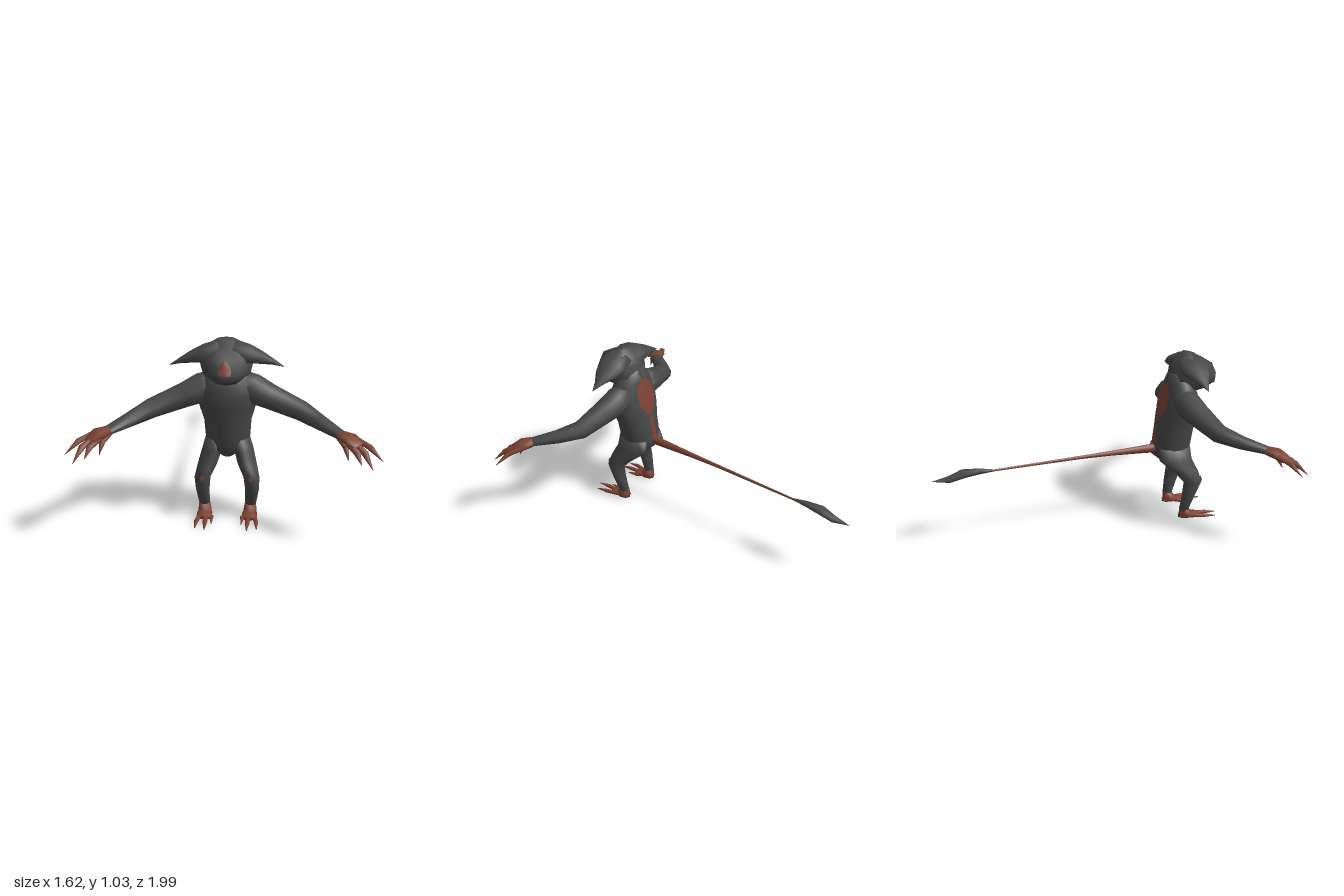
import * as THREE from 'three';

const hide = new THREE.MeshStandardMaterial({ color: 0x484848 });
hide.name = 'dark hide';
const skinRed = new THREE.MeshStandardMaterial({ color: 0x7c4233, side: THREE.DoubleSide });
skinRed.name = 'red skin';

const V = (x, y, z) => new THREE.Vector3(x, y, z);

function meshFrom(name, points, index, material) {
  const g = new THREE.BufferGeometry().setFromPoints(points);
  g.setIndex(index);
  g.computeVertexNormals();
  const m = new THREE.Mesh(g, material);
  m.name = name;
  return m;
}

// Closed skin over rings that run counter-clockwise about the path direction
function skin(name, rings, material) {
  const n = rings[0].length, last = rings.length - 1;
  const points = rings.flat(), index = [];
  for (let i = 0; i < last; i++) for (let j = 0; j < n; j++) {
    const a = i * n + j, b = i * n + (j + 1) % n;
    index.push(a, b, a + n, b, b + n, a + n);
  }
  for (const i of [0, last]) {
    const c = points.length;
    points.push(rings[i].reduce((s, p) => s.add(p), V(0, 0, 0)).divideScalar(n));
    for (let j = 0; j < n; j++) {
      const a = i * n + j, b = i * n + (j + 1) % n;
      index.push(c, ...(i ? [a, b] : [b, a]));
    }
  }
  return meshFrom(name, points, index, material);
}

// Elliptical tube: sections are [x, y, z, radius along side, radius across]
function loft(name, sections, side, material, sides = 10, dir = null) {
  const c = sections.map(s => V(s[0], s[1], s[2]));
  const rings = sections.map((s, i) => {
    const t = dir ? dir.clone()
      : c[Math.min(i + 1, c.length - 1)].clone().sub(c[Math.max(i - 1, 0)]).normalize();
    const u = side.clone().addScaledVector(t, -side.dot(t)).normalize();
    const v = t.clone().cross(u);
    return Array.from({ length: sides }, (_, j) => {
      const a = j / sides * Math.PI * 2;
      return c[i].clone().addScaledVector(u, s[3] * Math.cos(a)).addScaledVector(v, s[4] * Math.sin(a));
    });
  });
  return skin(name, rings, material);
}

// Open sheet from rows of points
function sheet(name, rows, material) {
  const n = rows[0].length, index = [];
  for (let i = 0; i < rows.length - 1; i++) for (let j = 0; j < n - 1; j++) {
    const a = i * n + j;
    index.push(a, a + 1, a + n, a + 1, a + n + 1, a + n);
  }
  return meshFrom(name, rows.flat(), index, material);
}

// Torso outline: height, front z, back z, half width
const TORSO = [
  [0.355, 0.55, 0.42, 0.04], [0.40, 0.585, 0.37, 0.10], [0.46, 0.60, 0.365, 0.123],
  [0.56, 0.615, 0.38, 0.13], [0.65, 0.635, 0.395, 0.155], [0.73, 0.65, 0.41, 0.165],
  [0.79, 0.63, 0.425, 0.15], [0.85, 0.61, 0.44, 0.12], [0.92, 0.58, 0.46, 0.07],
];

// Point on the back of the torso, slightly raised
function backPoint(x, y) {
  const i = TORSO.findIndex(s => s[0] >= y), a = TORSO[i - 1], b = TORSO[i];
  const k = (y - a[0]) / (b[0] - a[0]);
  const [f, r, w] = [1, 2, 3].map(q => a[q] + (b[q] - a[q]) * k);
  return V(x, y, (f + r) / 2 - (f - r) / 2 * Math.sqrt(Math.max(0, 1 - (x / w) ** 2)) - 0.004);
}

function createHead() {
  const head = new THREE.Group();
  head.name = 'head';
  // Layers: height, front z, back z, half width, widest z
  const layers = [
    [0.80, 0.62, 0.46, 0.07, 0.54], [0.815, 0.70, 0.45, 0.095, 0.56], [0.845, 0.745, 0.44, 0.115, 0.58],
    [0.85, 0.763, 0.44, 0.125, 0.60], [0.885, 0.768, 0.445, 0.135, 0.60], [0.955, 0.735, 0.47, 0.15, 0.58],
    [1.0, 0.665, 0.50, 0.11, 0.57], [1.035, 0.60, 0.545, 0.045, 0.57],
  ];
  head.add(skin('skull', layers.map(([y, f, b, w, m]) => {
    const half = [[0, b], [w * 0.65, b + (m - b) * 0.3], [w, m], [w * 0.55, Math.max(m, f - w * 0.275)], [0, f]];
    const right = half.map(([x, z]) => V(-x, y, z));
    const left = half.slice(1, 4).reverse().map(([x, z]) => V(x, y, z));
    return [...right, ...left];
  }), hide));

  // Swept side crests
  for (const s of [1, -1]) {
    head.add(loft('sideCrest', [
      [0.03 * s, 0.985, 0.58, 0.045, 0.085], [0.11 * s, 0.955, 0.58, 0.05, 0.095],
      [0.18 * s, 0.935, 0.575, 0.032, 0.07], [0.245 * s, 0.91, 0.572, 0.015, 0.03],
      [0.305 * s, 0.883, 0.572, 0.001, 0.001],
    ], V(0, 1, 0), hide, 8));
  }

  // Brow mark
  const rows = [[0.885, 0.030], [0.903, 0.034], [0.92, 0.029], [0.943, 0.017], [0.954, 0.005]];
  head.add(sheet('browMark', rows.map(([y, w]) => [-w, 0, w].map(x =>
    V(x, y, 0.772 - (y - 0.885) * 0.47 - Math.abs(x) * 0.5))), skinRed));
  return head;
}

function createArm(s) {
  const arm = new THREE.Group();
  arm.name = s > 0 ? 'leftArm' : 'rightArm';
  const up = V(0, 1, 0);
  arm.add(loft('sleeve', [
    [0.06 * s, 0.765, 0.515, 0.085, 0.075], [0.14 * s, 0.745, 0.53, 0.083, 0.085],
    [0.23 * s, 0.71, 0.555, 0.067, 0.078], [0.40 * s, 0.65, 0.605, 0.054, 0.056],
    [0.50 * s, 0.62, 0.70, 0.038, 0.045], [0.605 * s, 0.595, 0.815, 0.021, 0.036],
  ], up, hide, 10));
  arm.add(loft('palm', [
    [0.60 * s, 0.596, 0.81, 0.023, 0.039], [0.645 * s, 0.59, 0.845, 0.026, 0.054],
    [0.69 * s, 0.565, 0.882, 0.018, 0.048],
  ], up, skinRed, 8));
  // Clawed fingers: root and tip
  const fingers = [
    [[0.70, 0.58, 0.85], [0.81, 0.50, 0.92]], [[0.69, 0.572, 0.885], [0.755, 0.48, 0.99]],
    [[0.66, 0.565, 0.90], [0.70, 0.495, 0.965]], [[0.615, 0.58, 0.845], [0.637, 0.49, 0.895]],
  ];
  for (const [a, b] of fingers) {
    const mid = a.map((p, i) => p + (b[i] - p) * 0.4);
    arm.add(loft('finger', [
      [(a[0] - 0.03) * s, a[1] + 0.01, a[2] - 0.025, 0.014, 0.014],
      [mid[0] * s, mid[1] + 0.012, mid[2], 0.016, 0.019],
      [b[0] * s, b[1], b[2], 0.001, 0.001],
    ], up, skinRed, 6));
  }
  return arm;
}

function createLeg(s) {
  const leg = new THREE.Group();
  leg.name = s > 0 ? 'leftLeg' : 'rightLeg';
  const down = V(0, -1, 0), side = V(1, 0, 0);
  leg.add(loft('thighAndShin', [
    [0.065 * s, 0.46, 0.48, 0.055, 0.10], [0.085 * s, 0.385, 0.48, 0.056, 0.105],
    [0.11 * s, 0.31, 0.54, 0.053, 0.078], [0.135 * s, 0.245, 0.577, 0.044, 0.057],
    [0.137 * s, 0.16, 0.552, 0.038, 0.042], [0.128 * s, 0.055, 0.525, 0.029, 0.028],
  ], side, hide, 10, down));
  leg.add(sheet('kneeMark', [[0.235, 0.003], [0.255, 0.013], [0.275, 0.003]].map(([y, w]) =>
    [-w, w].map(x => V(0.132 * s + x, y, 0.637 - Math.abs(y - 0.25) * 0.3))), skinRed));
  leg.add(loft('ankle', [
    [0.128 * s, 0.07, 0.527, 0.031, 0.029], [0.126 * s, 0.03, 0.54, 0.037, 0.046],
    [0.125 * s, 0.012, 0.545, 0.035, 0.055],
  ], side, skinRed, 8, down));
  leg.add(loft('foot', [
    [0.125 * s, 0.02, 0.50, 0.025, 0.008], [0.125 * s, 0.023, 0.56, 0.042, 0.018],
    [0.126 * s, 0.016, 0.62, 0.042, 0.012],
  ], side, skinRed, 8));
  for (const [x, z] of [[0.168, 0.725], [0.115, 0.745], [0.082, 0.67]]) {
    leg.add(loft('toe', [
      [(0.125 + (x - 0.125) * 0.5) * s, 0.018, 0.57, 0.013, 0.012],
      [(0.125 + (x - 0.125) * 0.9) * s, 0.014, z - 0.07, 0.013, 0.011],
      [x * s, 0.004, z, 0.002, 0.003],
    ], side, skinRed, 6));
  }
  return leg;
}

export function createModel() {
  const model = new THREE.Group();
  model.name = 'tailedCreature';
  model.add(loft('torso', TORSO.map(([y, f, b, w]) => [0, y, (f + b) / 2, w, (f - b) / 2]),
    V(1, 0, 0), hide, 24, V(0, 1, 0)));

  // Red marks down the spine
  const spine = (name, rows) => model.add(sheet(name, rows.map(([y, w]) =>
    [-1, -0.5, 0, 0.5, 1].map(k => backPoint(k * w, y))), skinRed));
  spine('backMark', [[0.635, 0.012], [0.66, 0.04], [0.70, 0.062], [0.73, 0.07], [0.79, 0.068], [0.83, 0.05], [0.86, 0.02]]);
  spine('spineStripe', [[0.46, 0.02], [0.51, 0.016], [0.56, 0.017], [0.60, 0.013], [0.625, 0.006]]);

  model.add(createHead());
  for (const s of [1, -1]) model.add(createArm(s), createLeg(s));

  // Tail and its leaf-shaped tip
  model.add(loft('tail', [
    [0, 0.447, 0.41, 0.026, 0.032], [0, 0.445, 0.34, 0.022, 0.028], [0, 0.448, 0.1, 0.014, 0.016],
    [0, 0.449, -0.1, 0.009, 0.011], [0, 0.443, -0.65, 0.005, 0.006],
  ], V(1, 0, 0), skinRed, 8));
  model.add(loft('tailTip', [
    [0, 0.443, -0.635, 0.006, 0.006], [0, 0.45, -0.72, 0.02, 0.016], [0, 0.449, -0.82, 0.038, 0.024],
    [0, 0.425, -0.90, 0.026, 0.019], [0, 0.426, -1.0, 0.001, 0.001],
  ], V(1, 0, 0), hide, 6));
  return model;
}
